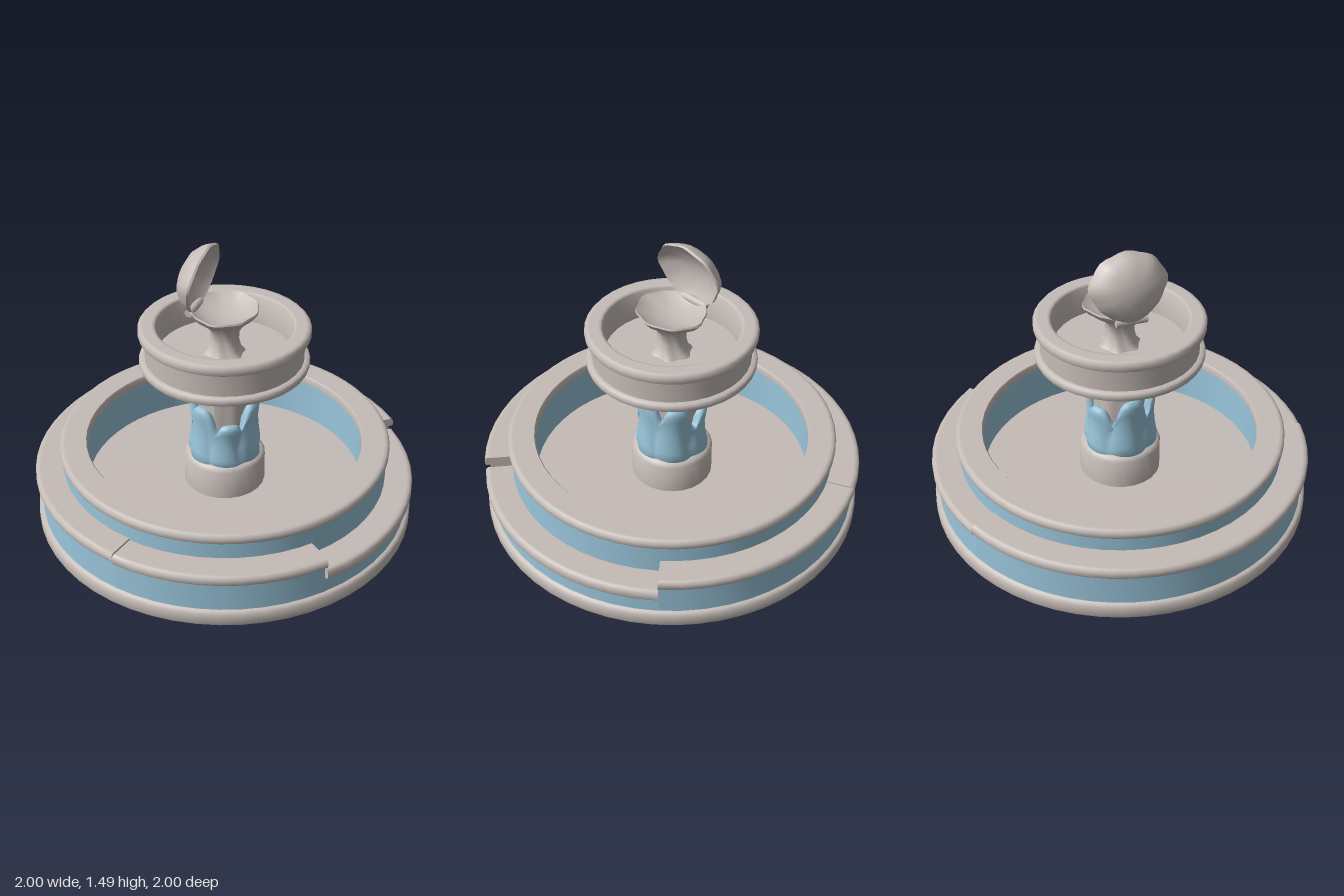
import * as THREE from 'three';
import { toCreasedNormals } from 'three/addons/utils/BufferGeometryUtils.js';

const stone = new THREE.MeshStandardMaterial({ color: 0xc5bcb7, side: THREE.DoubleSide });
stone.name = 'stone';
const blue = new THREE.MeshStandardMaterial({ color: 0x9ac6dc, side: THREE.DoubleSide });
blue.name = 'waterBlue';

const vecs = (pts) => pts.map(([x, y]) => new THREE.Vector2(x, y));

function add(parent, name, geometry, material) {
  const mesh = new THREE.Mesh(geometry, material);
  mesh.name = name;
  parent.add(mesh);
  return mesh;
}

// Turned part with crisp edges; angle 0 is +z and grows towards +x
function turned(pts, start = 0, length = Math.PI * 2, full = 56) {
  const segments = Math.max(4, Math.round(full * length / (Math.PI * 2)));
  return toCreasedNormals(new THREE.LatheGeometry(vecs(pts), segments, start, length), 0.9);
}

// Move every vertex of a geometry by a rule
function warp(geometry, rule) {
  const p = geometry.attributes.position;
  const v = new THREE.Vector3();
  for (let i = 0; i < p.count; i++) {
    rule(v.fromBufferAttribute(p, i));
    p.setXYZ(i, v.x, v.y, v.z);
  }
  geometry.computeVertexNormals();
  return geometry;
}

// Closed ring profile with softened top corners and a flat top
const ringProfile = (inner, outer, low, high) => [
  [inner, low], [outer - 0.004, low], [outer, low + 0.01], [outer, high - 0.014],
  [outer - 0.012, high], [outer - 0.028, high], [inner + 0.02, high],
  [inner + 0.006, high], [inner, high - 0.008], [inner, low],
];

// Outer ledge in sectors, with one dropped section on the +x side
function buildLedge(group) {
  const drop = Math.PI / 2 - 0.695, dropEnd = Math.PI / 2 + 0.7;
  const sectors = [
    [-0.2, drop, 0.247, 0.294],
    [drop, dropEnd, 0.175, 0.23],
    [dropEnd, 3.55, 0.25, 0.297],
    [3.55, Math.PI * 2 - 0.2, 0.257, 0.305],
  ];
  for (const [from, to, low, high] of sectors) {
    const profile = ringProfile(0.84, 1, low, high);
    add(group, 'ledgeSection', turned(profile, from, to - from), stone);
    add(group, 'ledgeWall', turned([[0.975, 0.07], [0.975, low + 0.01]], from, to - from), blue);
    for (const angle of [from, to]) {
      const cap = new THREE.ShapeGeometry(new THREE.Shape(vecs(profile)));
      add(group, 'ledgeEnd', cap, stone).rotation.y = angle - Math.PI / 2;
    }
  }
  // Risers at both ends of the dropped section
  for (const angle of [drop, dropEnd]) {
    const riser = new THREE.PlaneGeometry(0.135, 0.06).translate(0.9075, 0.225, 0);
    add(group, 'ledgeRiser', riser, stone).rotation.y = angle - Math.PI / 2;
  }
}

// Splashing water: a sleeve round the column whose top rises into broad round lobes
function waterGeometry() {
  const lobes = [[-1.5, 0.67], [-0.4, 0.66], [0.55, 0.58], [1.5, 0.68], [2.5, 0.67], [3.65, 0.61]];
  const profile = [[0.165, 0], [0.19, 0.1], [0.19, 0.25], [0.18, 0.45], [0.175, 0.65],
    [0.18, 0.8], [0.184, 0.9], [0.177, 0.97], [0.16, 1], [0.145, 0.96], [0.135, 0.85]];
  const sleeve = new THREE.LatheGeometry(vecs(profile), 96);
  return warp(sleeve, (v) => {
    const t = v.y;
    const angle = Math.atan2(v.x, v.z) + 0.22 * Math.sin(t * Math.PI);
    let top = 0.53, bulge = 0;
    for (const [centre, height] of lobes) {
      const d = Math.atan2(Math.sin(angle - centre), Math.cos(angle - centre));
      top = Math.max(top, height - 0.13 * Math.abs(d / 0.52) ** 3.5);
      bulge = Math.max(bulge, 1 - (d / 0.52) ** 2);
    }
    const scale = 0.94 + 0.085 * bulge;
    v.x *= scale;
    v.z *= scale;
    v.y = 0.3 + (top - 0.3) * t;
  });
}

// Scalloped half shell: hinge at -x, hollow side up
function shellGeometry(length, width, depth) {
  const profile = [[0, -1], [0.35, -0.95], [0.65, -0.78], [0.88, -0.46], [1, -0.1],
    [0.98, 0], [0.8, -0.3], [0.45, -0.6], [0, -0.72]];
  const half = warp(new THREE.LatheGeometry(vecs(profile), 36), (v) => {
    const r = Math.hypot(v.x, v.z);
    const angle = Math.atan2(v.z, v.x);
    const scallop = 1 + 0.022 * r * Math.cos(angle * 9) * (v.x > -0.6 ? 1 : 0);
    const taper = 1 - 0.3 * Math.max(0, -v.x);
    v.set(v.x * length * scallop, v.y * depth, v.z * width * taper * scallop);
  });
  return toCreasedNormals(half, 0.7);
}

export function createModel() {
  const model = new THREE.Group();
  model.name = 'fountain';

  // Lower basin
  const basin = new THREE.Group();
  basin.name = 'basin';
  model.add(basin);
  add(basin, 'basePlate', turned([[0, 0], [0.995, 0], [1, 0.012], [1, 0.066], [0.988, 0.08], [0.95, 0.08]]), stone);
  buildLedge(basin);
  add(basin, 'upperWall', turned([[0.855, 0.2], [0.855, 0.4]]), blue);
  add(basin, 'basinRim', turned(ringProfile(0.722, 0.867, 0.385, 0.43)), stone);
  add(basin, 'innerWall', turned([[0.732, 0.4], [0.732, 0.14]]), blue);
  add(basin, 'basinFloor', new THREE.CircleGeometry(0.74, 56).rotateX(-Math.PI / 2).translate(0, 0.155, 0), stone);

  // Pedestal and column
  add(model, 'pedestal', turned([[0.215, 0.15], [0.215, 0.315], [0.2, 0.335], [0.17, 0.342], [0, 0.342]], 0, Math.PI * 2, 24), stone);
  const column = warp(new THREE.CylinderGeometry(0.138, 0.138, 0.6, 40, 1, true), (v) => {
    const flute = 1 + 0.03 * Math.cos(Math.atan2(v.x, v.z) * 8);
    v.set(v.x * flute, v.y + 0.59, v.z * flute);
  });
  add(model, 'column', column, stone);
  add(model, 'splashingWater', waterGeometry(), blue);

  // Upper bowl
  add(model, 'upperBowl', turned([
    [0, 0.868], [0.43, 0.868], [0.434, 0.879], [0.434, 0.896], [0.426, 0.906], [0.405, 0.908],
    [0.405, 1.036], [0.432, 1.036], [0.436, 1.046], [0.436, 1.072], [0.424, 1.086], [0.41, 1.086],
    [0.365, 1.086], [0.353, 1.086], [0.345, 1.076], [0.338, 0.925], [0, 0.925],
  ], 0, Math.PI * 2, 36), stone);

  // Open shell on a twisted stalk
  const shell = new THREE.Group();
  shell.name = 'openShell';
  model.add(shell);
  const stalkProfile = [[0.105, 0.92], [0.08, 0.95], [0.068, 1], [0.07, 1.05], [0.095, 1.09], [0.11, 1.115]];
  const stalk = warp(new THREE.LatheGeometry(vecs(stalkProfile), 32), (v) => {
    const ridge = 1 + 0.08 * Math.cos(Math.atan2(v.x, v.z) * 6 + v.y * 20);
    v.set(v.x * ridge, v.y, v.z * ridge);
  });
  add(shell, 'stalk', stalk, stone);
  add(shell, 'lowerShell', shellGeometry(0.18, 0.19, 0.085), stone).position.set(-0.01, 1.172, 0);
  const lid = shellGeometry(0.183, 0.203, 0.115).rotateX(Math.PI).rotateZ(Math.PI / 2 - 0.2);
  add(shell, 'upperShell', lid, stone).position.set(-0.11, 1.307, 0);
  const hinge = new THREE.CylinderGeometry(0.022, 0.022, 0.16, 10).rotateX(Math.PI / 2);
  add(shell, 'hinge', hinge, stone).position.set(-0.16, 1.148, 0);

  return model;
}
